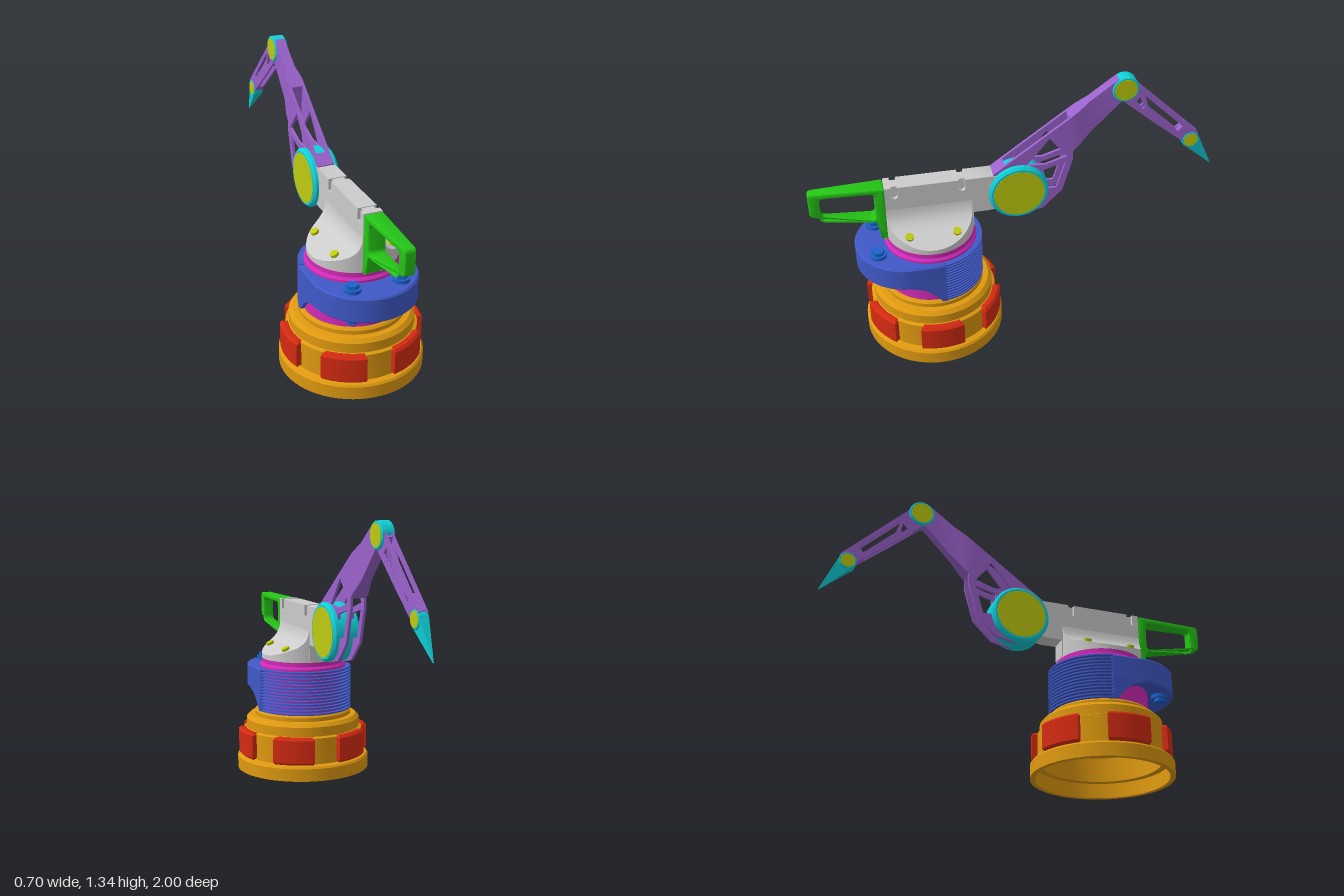
import * as THREE from 'three';
import { toCreasedNormals } from 'three/addons/utils/BufferGeometryUtils.js';

const C = { grey: 0xcccccc, orange: 0xe09a10, red: 0xd42a12, magenta: 0xd22bb8, blue: 0x4059c8, bolt: 0x1a62cc,
  green: 0x25c516, cyan: 0x10d0d8, purple: 0x9a62cc, yellow: 0xbfca10 };
const BZ = 0.432; // z of the turntable axis
const mats = {};
const mat = (c) => (mats[c] ??= new THREE.MeshStandardMaterial({ color: C[c] }));
const V2 = (p) => new THREE.Vector2(p[0], p[1]);

export function createModel() {
  const root = new THREE.Group();

  function add(name, geo, color, x = 0, y = 0, z = 0) {
    const m = new THREE.Mesh(toCreasedNormals(geo, 0.6), mat(color));
    m.name = name;
    m.position.set(x, y, z);
    root.add(m);
    return m;
  }
  const lathe = (pts, seg = 64) => new THREE.LatheGeometry(pts.map(V2), seg);

  // Plate drawn as (z, y), thick from x0 to x1
  function sidePlate(shape, x0, x1, holes = [], bevel = 0) {
    const s = Array.isArray(shape) ? new THREE.Shape(shape.map(V2)) : shape;
    s.holes = holes.map((h) => (Array.isArray(h) ? new THREE.Path(h.map(V2)) : h));
    const g = new THREE.ExtrudeGeometry(s, { depth: x1 - x0 - 2 * bevel, curveSegments: 8, bevelEnabled: bevel > 0,
      bevelSize: bevel, bevelThickness: bevel, bevelOffset: -bevel, bevelSegments: 2 });
    return g.translate(0, 0, -x1 + bevel).rotateY(-Math.PI / 2);
  }
  // Plate drawn as (x, z), from y0 to y1
  function flatPlate(shape, y0, y1, bevel = 0) {
    const g = new THREE.ExtrudeGeometry(shape, { depth: y1 - y0 - 2 * bevel, curveSegments: 32, bevelEnabled: bevel > 0,
      bevelSize: bevel, bevelThickness: bevel, bevelOffset: -bevel, bevelSegments: 1 });
    return g.rotateX(Math.PI / 2).translate(0, y1 - bevel, 0);
  }
  // Solid through rings of four corners
  function loft(rings) {
    const pos = rings.flat(2), idx = [0, 1, 2, 0, 2, 3];
    for (let r = 0; r < rings.length - 1; r++) for (let i = 0; i < 4; i++) {
      const a = r * 4 + i, b = r * 4 + (i + 1) % 4;
      idx.push(a, a + 4, b, b, a + 4, b + 4);
    }
    const e = (rings.length - 1) * 4;
    idx.push(e, e + 2, e + 1, e, e + 3, e + 2);
    const g = new THREE.BufferGeometry();
    g.setAttribute('position', new THREE.Float32BufferAttribute(pos, 3));
    g.setIndex(idx);
    return g;
  }
  // Arm section: top (z, y), bottom (z, y), half width
  const section = (zt, yt, zb, yb, w) => [[w, yt, zt], [-w, yt, zt], [-w, yb, zb], [w, yb, zb]];
  // Rounded polygon path
  function rounded(pts, r, Type) {
    const p = pts.map(V2), n = p.length, s = new Type();
    p.forEach((c, i) => {
      const toward = (q) => c.clone().add(q.clone().sub(c).setLength(r));
      const a = toward(p[(i + n - 1) % n]), b = toward(p[(i + 1) % n]);
      i ? s.lineTo(a.x, a.y) : s.moveTo(a.x, a.y);
      s.quadraticCurveTo(c.x, c.y, b.x, b.y);
    });
    s.closePath();
    return s;
  }

  // Stepped hollow base
  add('base', lathe([[0.325, 0], [0.35, 0], [0.35, 0.065], [0.342, 0.075], [0.315, 0.08], [0.315, 0.215], [0.3, 0.222],
    [0.3, 0.27], [0.282, 0.288], [0.255, 0.29], [0.255, 0.31], [0.245, 0.32], [0, 0.32], [0, 0.3], [0.225, 0.3],
    [0.225, 0.265], [0.265, 0.265], [0.265, 0.2], [0.29, 0.2], [0.29, 0.075], [0.325, 0.075], [0.325, 0]]), 'orange', 0, 0, BZ);

  // Six panels around the base
  for (let i = 0; i < 6; i++) {
    const s = new THREE.Shape(), a = i * Math.PI / 3, h = 0.32;
    s.absarc(0, 0, 0.343, a - h, a + h, false);
    s.absarc(0, 0, 0.295, a + h, a - h, true);
    s.closePath();
    add('basePanel', flatPlate(s, 0.08, 0.222, 0.012), 'red', 0, 0, BZ);
  }

  // Turntable column
  add('column', lathe([[0, 0.318], [0.235, 0.318], [0.235, 0.54], [0.228, 0.545], [0.228, 0.558], [0.217, 0.57],
    [0.217, 0.592], [0, 0.592]]), 'magenta', 0, 0, BZ);

  // Clamp with rounded nose, side skirts and cooling fins
  const clamp = new THREE.Shape();
  clamp.moveTo(-0.252, 0.392);
  clamp.lineTo(-0.256, BZ);
  clamp.lineTo(-0.256, 0.55);
  clamp.absarc(0, 0.55, 0.256, Math.PI, 0, true);
  clamp.lineTo(0.256, BZ);
  clamp.lineTo(0.252, 0.392);
  clamp.closePath();
  add('clamp', flatPlate(clamp, 0.42, 0.547, 0.008), 'blue');
  const skirt = [[0.392, 0.32], [0.415, 0.32], [0.435, 0.345], [0.46, 0.375], [0.5, 0.405], [0.56, 0.425], [0.56, 0.44], [0.392, 0.44]];
  add('clampSkirt', sidePlate(skirt, 0.205, 0.255), 'blue');
  add('clampSkirt', sidePlate(skirt, -0.255, -0.205), 'blue');
  const fin = new THREE.Shape();
  fin.absarc(0, 0, 0.256, Math.PI + 0.145, 2 * Math.PI - 0.145, false);
  fin.closePath();
  for (let i = 0; i < 14; i++) {
    const y = 0.322 + i * 0.0167;
    add('coolingFin', flatPlate(fin, y, y + 0.008), 'blue', 0, 0, BZ);
  }

  // Clamp bolts, above and below
  for (const x of [-0.12, 0.12]) for (const [y, d] of [[0.547, 1], [0.42, -1]]) {
    add('boltWasher', new THREE.CylinderGeometry(0.04, 0.04, 0.018, 24), 'bolt', x, y + d * 0.009, 0.7);
    add('boltHead', new THREE.CylinderGeometry(0.03, 0.03, 0.018, 6), 'bolt', x, y + d * 0.027, 0.7);
  }

  // Flared cover foot, round in plan
  const flare = [[0, 0.76], [0.046, 0.76], [0.05, 0.735], [0.06, 0.71], [0.075, 0.69], [0.1, 0.67], [0.215, 0.615]];
  const xs = [...flare.map((p) => p[0]), 0.12, 0.14, 0.16, 0.175, 0.19, 0.2, 0.207, 0.212].sort((a, b) => a - b);
  const height = (x) => {
    const i = Math.max(1, flare.findIndex((p) => p[0] >= x)), [a, b] = [flare[i - 1], flare[i]];
    return a[1] + (b[1] - a[1]) * (x - a[0]) / (b[0] - a[0]);
  };
  const allX = [...xs.slice(1).reverse().map((x) => -x), ...xs];
  add('coverFoot', loft(allX.map((x) => {
    const z = Math.sqrt(Math.max(1e-6, 0.215 ** 2 - x * x)), y = height(Math.abs(x));
    return [[x, y, z], [x, y, -z], [x, 0.59, -z], [x, 0.59, z]];
  })), 'grey', 0, 0, BZ);

  // Upright cover with side grooves
  const notch = (z) => [[z + 0.015, 0.885], [z + 0.015, 0.83], [z, 0.82], [z - 0.015, 0.83], [z - 0.015, 0.885]];
  add('cover', sidePlate([[0.642, 0.6], [0.642, 0.885], ...notch(0.595), ...notch(0.27), [0.11, 0.885], [0.05, 0.85],
    [0.05, 0.7], [0.14, 0.685], [0.217, 0.685], [0.217, 0.6]], -0.046, 0.046), 'grey');
  for (const z of [0.595, 0.27]) add('grooveCore', new THREE.BoxGeometry(0.056, 0.07, 0.032), 'grey', 0, 0.847, z);

  // Cover screws
  for (const s of [-1, 1]) for (const z of [0.315, 0.545])
    add('coverScrew', new THREE.CylinderGeometry(0.02, 0.02, 0.02, 20), 'yellow', s * 0.14, 0.655, z).rotation.z = -s * 0.44;

  // Tapered handle
  const grip = rounded([[1, 0.885], [0.638, 0.885], [0.638, 0.592], [0.668, 0.592], [0.69, 0.692], [1, 0.755]], 0.02, THREE.Shape);
  const gripHole = rounded([[0.948, 0.857], [0.948, 0.735], [0.69, 0.705], [0.69, 0.857]], 0.025, THREE.Path);
  const handle = sidePlate(grip, -0.047, 0.047, [gripHole], 0.01);
  const hp = handle.attributes.position;
  for (let i = 0; i < hp.count; i++) hp.setX(i, hp.getX(i) * (1 - 0.42 * THREE.MathUtils.clamp((hp.getZ(i) - 0.64) / 0.36, 0, 1)));
  add('handle', handle, 'green');

  // Round joints with caps
  function joint(name, r, cap, w, y, z) {
    const c = Math.min(0.012, r * 0.08);
    const drum = lathe([[0, -w], [r - c, -w], [r, -w + c], [r, w - c], [r - c, w], [0, w]], 48);
    add(name, drum.rotateZ(-Math.PI / 2), 'cyan', 0, y, z);
    add(name + 'Cap', new THREE.CylinderGeometry(cap, cap, 2 * w + 0.004, 48).rotateZ(Math.PI / 2), 'yellow', 0, y, z);
  }
  joint('shoulder', 0.147, 0.125, 0.07, 0.782, -0.005);
  joint('elbow', 0.065, 0.054, 0.033, 1.278, -0.52);
  joint('wrist', 0.044, 0.035, 0.024, 0.946, -0.873);

  // Upper arm: open fork, then a solid narrowing beam
  const fork = [[0.118, 0.89], [-0.25, 1.16], [-0.273, 0.975], [-0.273, 0.925], [-0.225, 0.753], [-0.13, 0.656],
    [-0.03, 0.634], [0.1, 0.7]];
  const forkHoles = [[[-0.045, 0.92], [-0.155, 1.06], [-0.245, 0.95], [-0.14, 0.915]],
    [[-0.13, 0.885], [-0.238, 0.915], [-0.195, 0.77], [-0.13, 0.77]]];
  for (const [a, b] of [[0.028, 0.042], [-0.042, -0.028]]) add('upperArmFork', sidePlate(fork, a, b, forkHoles), 'purple');
  add('upperArmFront', loft([section(0.118, 0.89, 0.1, 0.8, 0.04), section(0.06, 0.932, 0.06, 0.8, 0.04)]), 'purple');
  add('upperArmBeam', loft([section(-0.25, 1.16, -0.273, 0.973, 0.042), section(-0.29, 1.19, -0.3, 1.002, 0.041),
    section(-0.35, 1.235, -0.36, 1.065, 0.026), section(-0.485, 1.335, -0.506, 1.216, 0.026)]), 'purple');

  // Forearm: two slotted plates joined at the ends
  const fore = [[-0.48, 1.24], [-0.55, 1.335], [-0.59, 1.285], [-0.91, 0.98], [-0.84, 0.935], [-0.665, 1.08]];
  const foreHoles = [[[-0.575, 1.2], [-0.605, 1.23], [-0.622, 1.165], [-0.612, 1.155]],
    [[-0.622, 1.225], [-0.825, 1.03], [-0.8, 1.005], [-0.645, 1.15]]];
  for (const [a, b] of [[0.012, 0.022], [-0.022, -0.012]]) add('forearmPlate', sidePlate(fore, a, b, foreHoles), 'purple');
  add('forearmEnd', loft([section(-0.835, 1.051, -0.79, 0.977, 0.021), section(-0.905, 0.985, -0.84, 0.936, 0.021)]), 'purple');
  add('forearmRoot', loft([section(-0.53, 1.3, -0.49, 1.23, 0.021), section(-0.6, 1.274, -0.56, 1.17, 0.021)]), 'purple');

  // Pointed tip
  add('tip', loft([section(-0.912, 0.965, -0.842, 0.918, 0.023), section(-0.999, 0.781, -0.996, 0.778, 0.001)]), 'cyan');

  return root;
}
